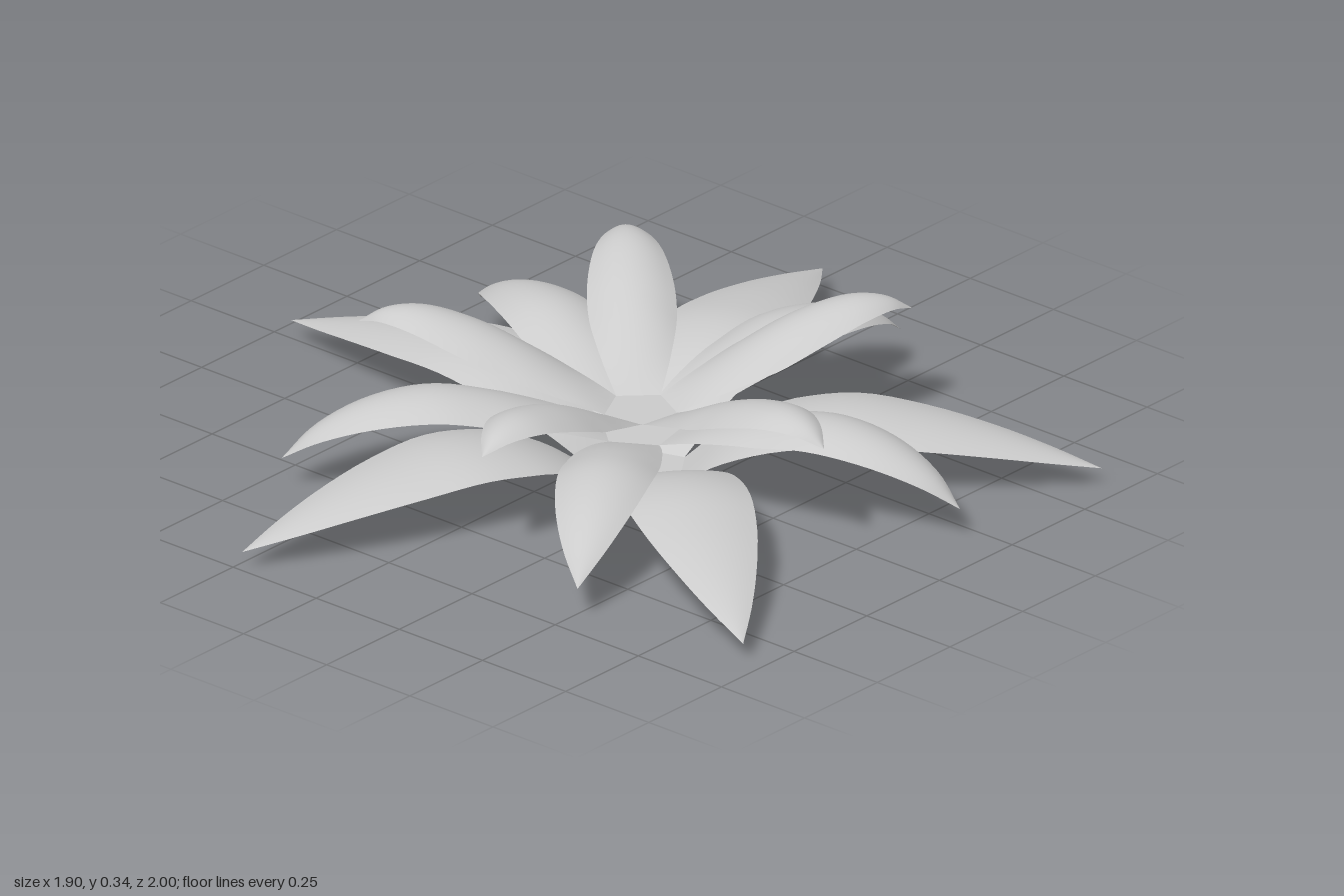
import * as THREE from 'three';

const material = new THREE.MeshStandardMaterial({ color: 0xcccccc, side: THREE.DoubleSide });
const STEP = (Math.PI * 2) / 5;

// Each tier: angle of its first leaf, how far the leaf edges droop,
// and sections along the leaf as [distance from axis, height, half width].
const tiers = [
  {
    name: 'outerLeaf', start: 36, droop: 0.025,
    sections: [[0.095, 0, 0.069], [0.2, 0.08, 0.11], [0.34, 0.145, 0.142], [0.48, 0.167, 0.146],
      [0.64, 0.15, 0.126], [0.8, 0.117, 0.088], [0.93, 0.082, 0.047], [1.05, 0.045, 0]],
  },
  {
    name: 'middleLeaf', start: -13.2, droop: 0.035,
    sections: [[0.08, 0.1, 0.058], [0.2, 0.155, 0.086], [0.35, 0.207, 0.107], [0.48, 0.227, 0.107],
      [0.62, 0.205, 0.086], [0.74, 0.15, 0.047], [0.82, 0.08, 0]],
  },
  {
    name: 'innerLeaf', start: 9.7, droop: 0.04,
    sections: [[0.07, 0.15, 0.051], [0.17, 0.205, 0.077], [0.3, 0.275, 0.1], [0.41, 0.318, 0.097],
      [0.52, 0.34, 0.074], [0.6, 0.328, 0.04], [0.66, 0.29, 0]],
  },
];

// Arched leaf growing along +x: a grid bent over the section curve
function leafGeometry({ sections, droop }) {
  const curve = new THREE.CatmullRomCurve3(sections.map((s) => new THREE.Vector3(...s)));
  const widest = Math.max(...sections.map((s) => s[2]));
  const geometry = new THREE.PlaneGeometry(1, 2, 28, 10);
  const position = geometry.attributes.position;
  const p = new THREE.Vector3();
  for (let i = 0; i < position.count; i++) {
    const u = position.getX(i) + 0.5;
    const v = position.getY(i);
    curve.getPoint(u, p);
    const width = Math.max(p.z, 0);
    // The cross-section is flat at the root and curls down further out
    const curl = droop * Math.min(1, u * 3) * (width / widest) * v * v;
    position.setXYZ(i, p.x, p.y - curl, -v * width);
  }
  geometry.computeVertexNormals();
  return geometry;
}

export function createModel() {
  const plant = new THREE.Group();
  plant.name = 'rosettePlant';
  plant.position.x = 0.1;

  for (const tier of tiers) {
    const start = THREE.MathUtils.degToRad(tier.start);
    const geometry = leafGeometry(tier);
    for (let k = 0; k < 5; k++) {
      const leaf = new THREE.Mesh(geometry, material);
      leaf.name = tier.name;
      leaf.rotation.y = -(start + k * STEP);
      plant.add(leaf);
    }

    // Five-sided base joining the leaf roots
    const [inset, height] = tier.sections[0];
    const disc = new THREE.CircleGeometry(inset / Math.cos(STEP / 2), 5, STEP / 2);
    const base = new THREE.Mesh(disc.rotateX(-Math.PI / 2), material);
    base.name = tier.name + 'Base';
    base.position.y = height;
    base.rotation.y = -start;
    plant.add(base);
  }

  const model = new THREE.Group();
  model.name = 'plant';
  model.add(plant);
  return model;
}
